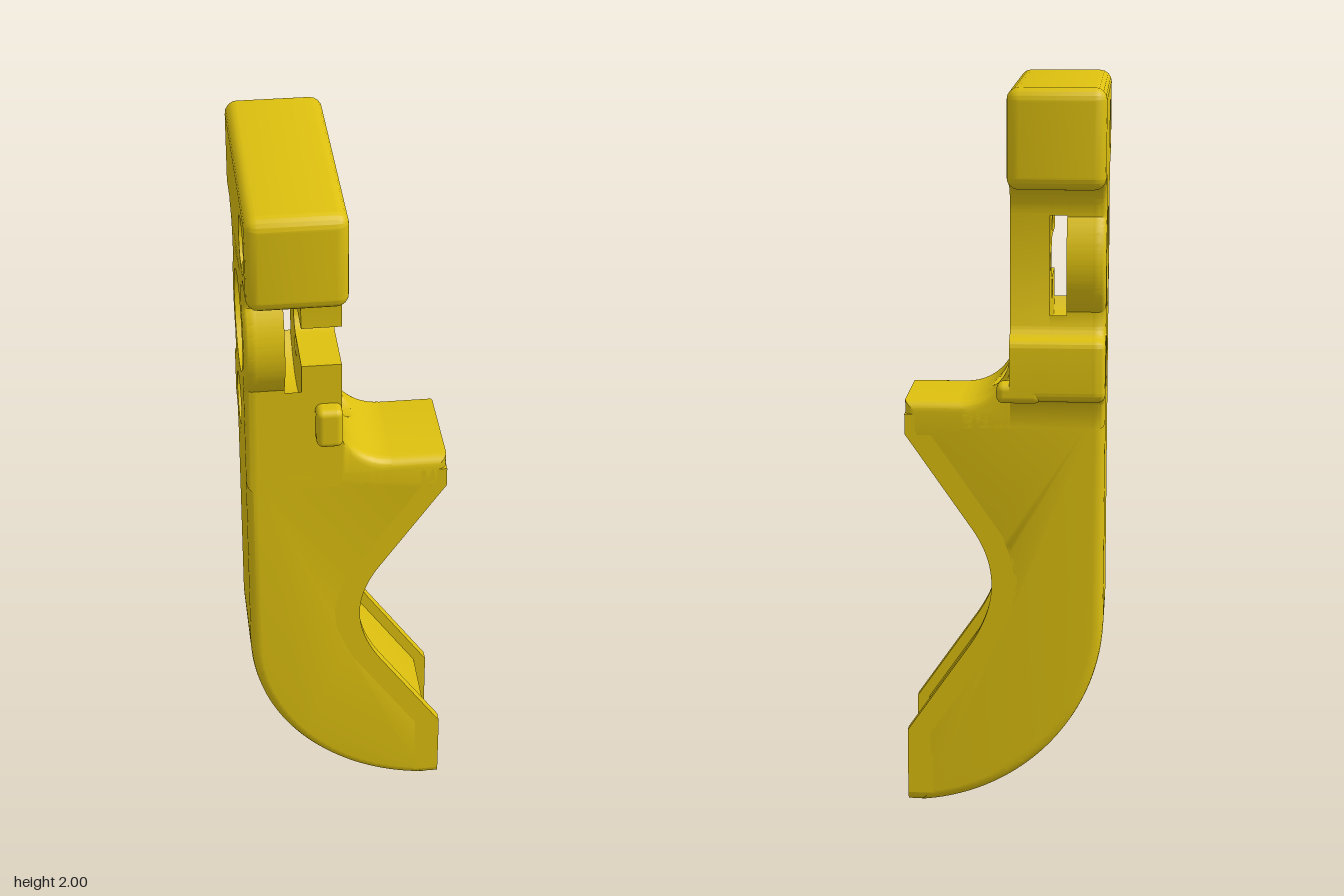
import * as THREE from 'three';
import { toCreasedNormals } from 'three/addons/utils/BufferGeometryUtils.js';
import { RoundedBoxGeometry } from 'three/addons/geometries/RoundedBoxGeometry.js';

const yellow = new THREE.MeshStandardMaterial({ color: 0xddc00f });
yellow.name = 'yellow plastic';
const HUB = 1.525; // height of the wheel axis
const PI = Math.PI;

export function createModel() {
  const model = new THREE.Group();

  function add(name, geo) {
    const mesh = new THREE.Mesh(geo, yellow);
    mesh.name = name;
    model.add(mesh);
    return mesh;
  }

  // Extrudes a shape, optionally with rounded rims; round holes keep straight walls
  function extrude(shape, depth, bevel = 0, holes = []) {
    for (const [u, y, r] of holes) {
      const hole = new THREE.Path();
      hole.absarc(u, y, r, 0, PI * 2, true);
      shape.holes.push(hole);
    }
    const geo = new THREE.ExtrudeGeometry(shape, {
      depth: depth - 2 * bevel, curveSegments: 32, bevelEnabled: bevel > 0,
      bevelSize: bevel, bevelThickness: bevel, bevelOffset: -bevel, bevelSegments: 4,
    });
    geo.translate(0, 0, bevel);
    const p = geo.attributes.position;
    for (let i = 0; i < p.count; i++) {
      for (const [u, y, r] of holes) {
        const dx = p.getX(i) - u, dy = p.getY(i) - y, d = Math.hypot(dx, dy);
        if (d < r + bevel * 1.05) p.setXY(i, u + dx / d * r, y + dy / d * r);
      }
    }
    return toCreasedNormals(geo, 0.6);
  }

  // Slab lying between two x positions; the shape is drawn in (-z, y)
  function slab(name, shape, x0, x1, bevel, holes) {
    const geo = extrude(shape, x1 - x0, bevel, holes);
    geo.rotateY(PI / 2);
    geo.translate(x0, 0, 0);
    return add(name, geo);
  }

  // Crossbar head
  const head = new THREE.Shape();
  const r = 0.035;
  head.absarc(0.34 - r, 1.74 + r, r, -PI / 2, 0);
  head.absarc(0.34 - r, 2 - r, r, 0, PI / 2);
  head.absarc(-0.34 + r, 2 - r, r, PI / 2, PI);
  head.absarc(-0.34 + r, 1.74 + r, r, PI, PI * 1.5);
  slab('head', head, -0.27, -0.015, 0.032, [[-0.2, 1.86, 0.075]]);

  // Pieces of the neck outline
  function lowerSide(s) {
    s.moveTo(-0.155, 1.08);
    s.lineTo(0.155, 1.08);
    s.lineTo(0.155, 1.145);
    s.quadraticCurveTo(0.158, 1.158, 0.18, 1.16);
    s.quadraticCurveTo(0.21, 1.163, 0.21, 1.19);
    s.lineTo(0.21, 1.305);
    s.quadraticCurveTo(0.21, 1.325, 0.19, 1.33);
    s.quadraticCurveTo(0.162, 1.338, 0.155, 1.365);
  }
  function flaredTop(s) {
    s.lineTo(0.155, 1.655);
    s.quadraticCurveTo(0.16, 1.735, 0.23, 1.745);
    s.lineTo(0.23, 1.8);
    s.lineTo(-0.23, 1.8);
    s.lineTo(-0.23, 1.745);
    s.quadraticCurveTo(-0.16, 1.735, -0.155, 1.655);
  }

  const pivotHole = [0.05, 1.25, 0.071];
  const screwHoles = [[0.09, HUB, 0.027], [0, HUB + 0.09, 0.027], [0, HUB - 0.09, 0.027]];

  // Back of the neck with the round hub, recessed from behind
  function hubOutline() {
    const s = new THREE.Shape(), a = Math.acos(0.155 / 0.2);
    lowerSide(s);
    s.absarc(0, HUB, 0.2, -a, a);
    flaredTop(s);
    s.absarc(0, HUB, 0.2, PI - a, PI + a);
    return s;
  }
  slab('hubRim', hubOutline(), -0.27, -0.215, 0.02, [pivotHole, [0, HUB, 0.135]]);
  slab('hubPlate', hubOutline(), -0.235, -0.165, 0,
    [pivotHole, ...screwHoles, [-0.09, HUB, 0.027], [0, HUB, 0.057]]);

  // Middle of the neck, opened by a round slot
  const a = Math.acos(0.155 / 0.206);
  const below = new THREE.Shape();
  lowerSide(below);
  below.absarc(0, HUB, 0.206, -a, -PI + a, true);
  slab('slotFloor', below, -0.165, -0.12, 0, [pivotHole]);
  const above = new THREE.Shape();
  above.moveTo(0.155, HUB + 0.206 * Math.sin(a));
  flaredTop(above);
  above.absarc(0, HUB, 0.206, PI - a, a, true);
  slab('slotCeiling', above, -0.165, -0.12, 0, []);

  // Front of the neck, notched to the axis from one side
  const plate = new THREE.Shape();
  lowerSide(plate);
  flaredTop(plate);
  plate.lineTo(-0.155, HUB + 0.057);
  plate.absarc(0, HUB, 0.057, PI / 2, -PI / 2, true);
  plate.lineTo(-0.155, HUB - 0.057);
  slab('notchedPlate', plate, -0.12, -0.015, 0, [pivotHole, ...screwHoles]);

  // Side tab and the foot of the opposite bulge
  add('sideTab', new RoundedBoxGeometry(0.07, 0.115, 0.1, 3, 0.018)).position.set(-0.05, 1.292, 0.15);
  add('bulgeFoot', new RoundedBoxGeometry(0.12, 0.055, 0.07, 3, 0.02)).position.set(-0.04, 1.185, -0.175);

  // Concave finger edge of the grip
  const edge = new THREE.Path();
  edge.moveTo(0.27, 0.03);
  edge.lineTo(0.27, 0.215);
  edge.lineTo(0.1, 0.46);
  edge.quadraticCurveTo(-0.023, 0.637, 0.09, 0.8);
  edge.lineTo(0.249, 1.03);
  const edgePoints = edge.getPoints(32);

  // Grip core, set back behind the finger edge
  const core = new THREE.Shape();
  core.moveTo(-0.27, 1.15);
  core.lineTo(-0.27, 0.55);
  core.absarc(0.28, 0.55, 0.55, PI, PI * 1.5 - 0.082);
  edgePoints.slice(1).forEach((p) => core.lineTo(p.x - 0.035, p.y));
  core.lineTo(0.249, 1.03);
  core.lineTo(0.27, 1.06);
  core.lineTo(0.27, 1.15);
  const coreGeo = extrude(core, 0.31, 0.028);
  coreGeo.translate(0, 0, -0.155);
  add('grip', coreGeo);

  // Raised rims on both sides of the finger groove, closed by a lip at the bottom
  const rimPoints = [...edgePoints, new THREE.Vector2(0.27, 1.06), new THREE.Vector2(0.27, 1.115)];
  const rimBack = rimPoints.map((p) => new THREE.Vector2(p.x - 0.07, p.y)).reverse();
  for (const z of [-0.155, 0.125]) {
    const rim = extrude(new THREE.Shape([...rimPoints, ...rimBack]), 0.03);
    rim.translate(0, 0, z);
    add('grooveRim', rim);
  }
  const lip = new THREE.Shape();
  lip.moveTo(0.155, 0.035);
  lip.lineTo(-0.155, 0.035);
  lip.absarc(-0.125, 0.033, 0.03, PI, PI * 1.5);
  lip.absarc(0.125, 0.033, 0.03, PI * 1.5, PI * 2);
  slab('grooveLip', lip, 0.21, 0.27, 0, []);

  // Fillet between neck and grip, cut by the pivot hole, with softened edges
  const nx = 16, nz = 90;
  const fillet = new THREE.PlaneGeometry(1, 1, nx, nz).rotateX(-PI / 2);
  const pos = fillet.attributes.position;
  for (let j = 0; j <= nz; j++) {
    const z = -0.155 + 0.31 * THREE.MathUtils.clamp((j - 1) / (nz - 2), 0, 1);
    const over = Math.max(0, Math.abs(z) - 0.127);
    const drop = 0.028 - Math.sqrt(Math.max(0, 0.028 ** 2 - over ** 2));
    for (let i = 0; i <= nx; i++) {
      const t = (i / nx) * PI / 2;
      let y = 1.285 - 0.135 * Math.sin(t) - drop;
      const dz = z + pivotHole[0];
      if (Math.abs(dz) < pivotHole[2]) y = Math.min(y, 1.25 - Math.sqrt(pivotHole[2] ** 2 - dz * dz));
      if (j === 0 || j === nz) y = 1.08;
      pos.setXYZ(j * (nx + 1) + i, 0.12 - 0.135 * Math.cos(t), y, z);
    }
  }
  add('neckFillet', toCreasedNormals(fillet, 0.6));

  return model;
}
